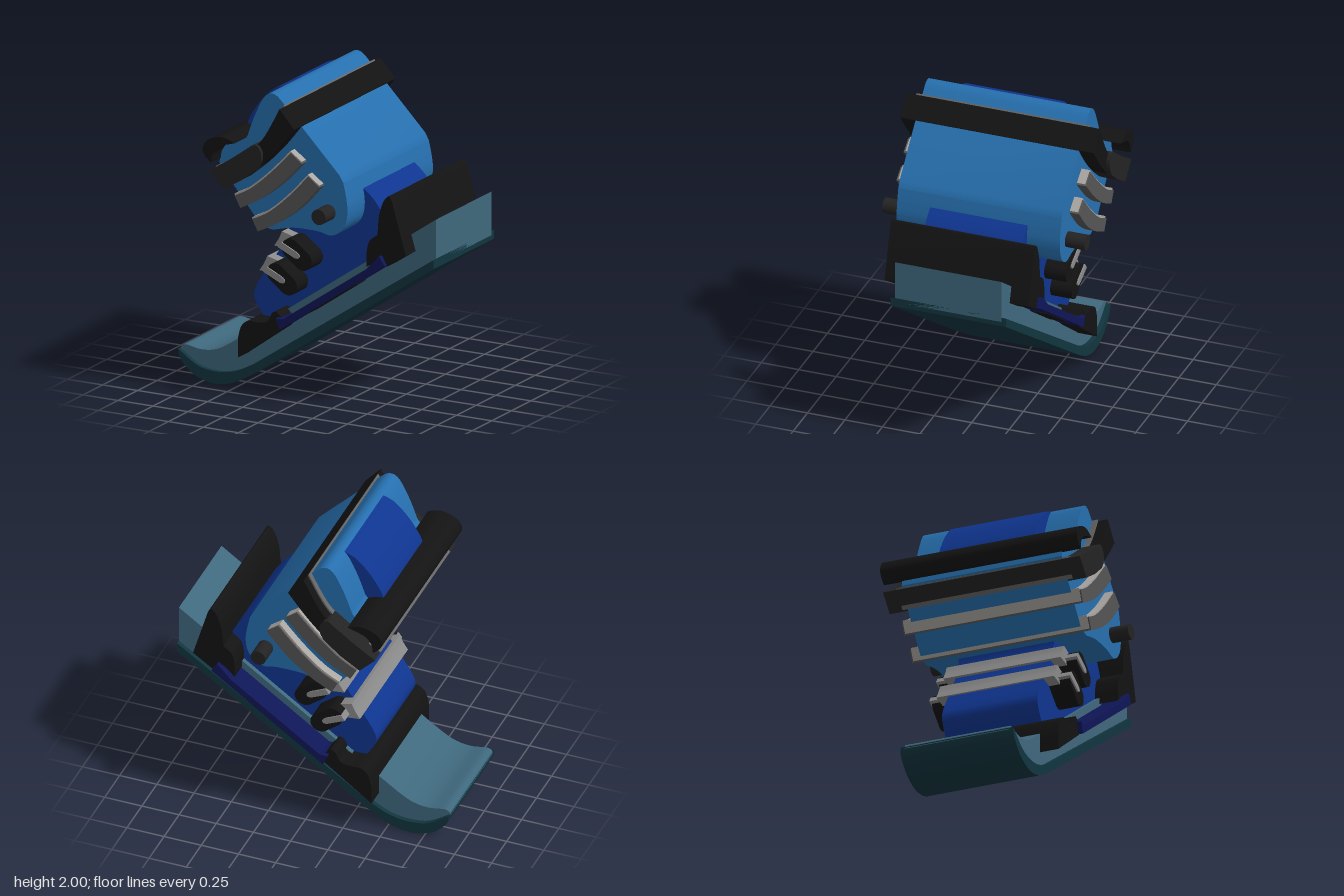
import * as THREE from 'three';
import { toCreasedNormals } from 'three/addons/utils/BufferGeometryUtils.js';

const TEAL = 0x3f687d, DARK_TEAL = 0x12353f, BLUE = 0x0f3590, NAVY = 0x0f1657;
const SKY = 0x266fae, BLACK = 0x131313, CHARCOAL = 0x232323, GREY = 0x555555, SILVER = 0x8a8a8a;

// Outline from runs: a single point is a straight line, several points are a smooth curve.
function outline(runs) {
  const shape = new THREE.Shape();
  runs.forEach((run, i) => {
    const pts = run.map(([x, y]) => new THREE.Vector2(x, y));
    if (i === 0) shape.moveTo(pts[0].x, pts[0].y);
    else shape.lineTo(pts[0].x, pts[0].y);
    if (pts.length > 1) shape.splineThru(pts.slice(1));
  });
  return shape;
}

export function createModel() {
  const model = new THREE.Group();

  // Side profile extruded evenly to both sides of the middle plane
  const slab = (name, half, color, shape, dx = 0, dy = 0) => {
    const geo = new THREE.ExtrudeGeometry(Array.isArray(shape) ? outline(shape) : shape,
      { depth: half * 2, bevelEnabled: false, curveSegments: 24 });
    geo.translate(dx, dy, -half);
    const mesh = new THREE.Mesh(toCreasedNormals(geo, 0.5), new THREE.MeshStandardMaterial({ color }));
    mesh.name = name;
    model.add(mesh);
  };

  // Ski
  slab('skiBase', 0.385, DARK_TEAL, [
    [[-0.915, 0.19], [-0.9, 0.13], [-0.82, 0.05], [-0.73, 0.012], [-0.64, 0], [-0.52, 0.025], [-0.38, 0.1]],
    [[0.91, 0.97]], [[0.91, 1.03]],
    [[-0.38, 0.165], [-0.5, 0.105], [-0.63, 0.08], [-0.77, 0.1], [-0.9, 0.18]],
  ]);
  slab('skiDeck', 0.355, TEAL, [
    [[-0.915, 0.18], [-0.905, 0.205], [-0.87, 0.215], [-0.77, 0.2], [-0.68, 0.21], [-0.59, 0.25], [-0.44, 0.35]],
    [[0.91, 1.285]], [[0.91, 1.0]],
    [[-0.38, 0.14], [-0.5, 0.085], [-0.63, 0.06], [-0.77, 0.085], [-0.9, 0.165]],
  ]);

  // Sole and bindings
  slab('sole', 0.51, NAVY, [
    [[-0.12, 0.46]], [[0.63, 0.98]], [[0.59, 1.04]], [[0.5, 0.945]], [[-0.1, 0.53]], [[-0.15, 0.53]],
  ]);
  slab('soleClamp', 0.48, BLACK, [
    [[0.07, 0.585]], [[0.41, 0.82]], [[0.39, 0.86]], [[0.05, 0.63]],
  ]);
  slab('toeBinding', 0.48, BLACK, [
    [[-0.435, 0.225]],
    [[-0.435, 0.35], [-0.41, 0.435], [-0.36, 0.475], [-0.285, 0.475], [-0.225, 0.49],
      [-0.19, 0.55], [-0.16, 0.562], [-0.13, 0.535], [-0.095, 0.49]],
    [[-0.12, 0.455]],
  ]);
  slab('heelBinding', 0.48, BLACK, [
    [[0.485, 0.95]],
    [[0.485, 1.05], [0.505, 1.12], [0.56, 1.165]],
    [[0.565, 1.2], [0.575, 1.3], [0.605, 1.39], [0.643, 1.43], [0.665, 1.4]],
    [[0.765, 1.06]], [[0.63, 0.97]], [[0.6, 1.035], [0.55, 1.01], [0.485, 0.95]],
  ]);

  // Boot: lower shell, liner, hinged cuff
  slab('lowerShell', 0.325, BLUE, [
    [[-0.3, 0.42], [-0.385, 0.545], [-0.405, 0.61], [-0.38, 0.68], [-0.31, 0.79],
      [-0.2, 0.96], [-0.155, 1.08], [-0.16, 1.2]],
    [[-0.1, 1.4]],
    [[0.375, 1.405], [0.46, 1.33], [0.56, 1.18], [0.6, 1.0]],
    [[0.5, 0.9]],
  ]);
  slab('linerTongue', 0.325, BLUE, [
    [[-0.455, 1.6]],
    [[-0.455, 1.7], [-0.43, 1.76], [-0.36, 1.865], [-0.27, 1.955], [-0.19, 1.99]],
    [[-0.15, 1.6]],
  ]);
  slab('cuff', 0.545, SKY, [
    [[-0.23, 1.13]], [[-0.49, 1.44]],
    [[-0.53, 1.5], [-0.515, 1.57], [-0.475, 1.63], [-0.41, 1.665], [-0.345, 1.68]],
    [[-0.33, 1.7], [-0.29, 1.81], [-0.245, 1.91], [-0.205, 1.975], [-0.165, 2], [-0.12, 1.99], [-0.07, 1.945]],
    [[0.33, 1.535]],
    [[0.355, 1.49], [0.375, 1.4], [0.385, 1.31], [0.37, 1.225], [0.325, 1.165], [0.26, 1.137],
      [0.17, 1.152], [0, 1.15], [-0.15, 1.115]],
  ]);
  slab('hinge', 0.675, CHARCOAL, new THREE.Shape().absarc(0.25, 1.287, 0.05, 0, Math.PI * 2), 0, 0);

  // Power band around the cuff, its lining, the overlapping strap and the front pad
  const band = [
    [[-0.53, 1.475], [-0.36, 1.57], [-0.18, 1.71], [-0.045, 1.94]],
    [[0.06, 1.82], [-0.08, 1.65], [-0.24, 1.5], [-0.43, 1.37]],
  ];
  slab('powerBand', 0.645, BLACK, band);
  slab('bandLining', 0.58, 0x666666, band, -0.008, 0.007);
  slab('bandStrap', 0.67, CHARCOAL, [
    [[-0.535, 1.475], [-0.38, 1.575], [-0.22, 1.69]],
    [[-0.19, 1.685], [-0.165, 1.645], [-0.165, 1.59], [-0.19, 1.54]],
    [[-0.3, 1.45], [-0.43, 1.37]],
  ]);
  slab('frontPad', 0.67, BLACK, [
    [[-0.52, 1.53], [-0.565, 1.57], [-0.58, 1.615], [-0.555, 1.665], [-0.5, 1.695],
      [-0.43, 1.706], [-0.35, 1.68]],
    [[-0.42, 1.66], [-0.475, 1.635], [-0.51, 1.59], [-0.52, 1.53]],
  ]);

  // Cuff straps, each a dark band over a paler one
  [
    [[[-0.385, 1.32], [-0.27, 1.385], [-0.13, 1.505], [0.015, 1.655]],
      [[0.095, 1.595], [-0.05, 1.445], [-0.2, 1.325], [-0.345, 1.245]]],
    [[[-0.26, 1.185], [-0.14, 1.25], [0, 1.37], [0.14, 1.52]],
      [[0.22, 1.46], [0.08, 1.305], [-0.07, 1.19], [-0.22, 1.11]]],
  ].forEach((runs) => {
    slab('cuffStrap', 0.61, GREY, runs);
    slab('cuffStrapEdge', 0.6, 0xaaa6a2, runs, -0.007, 0.009);
  });

  // Instep buckles: strap over the shell, rounded catch and lever
  const capsule = (r, length) => {
    const a = -0.66, n = a + Math.PI / 2;
    return new THREE.Shape()
      .absarc(length * Math.cos(a), length * Math.sin(a), r, a - Math.PI / 2, n)
      .absarc(0, 0, r, n, n + Math.PI);
  };
  [[0, 0], [-0.105, -0.175]].forEach(([dx, dy]) => {
    slab('instepStrap', 0.4, SILVER, [
      [[-0.165, 1.065], [-0.185, 1.02], [-0.22, 0.965]],
      [[-0.14, 0.955]], [[-0.07, 0.94]], [[-0.03, 1.02]], [[-0.09, 1.045]],
    ], dx, dy);
    slab('buckleCatch', 0.47, BLACK, capsule(0.064, 0.11), -0.065 + dx, 0.985 + dy);
    slab('buckleLever', 0.48, SILVER, [
      [[-0.125, 1.02]], [[-0.02, 0.97], [0.002, 0.95], [-0.005, 0.93], [-0.03, 0.93]], [[-0.15, 0.985]],
    ], dx, dy);
  });

  return model;
}
